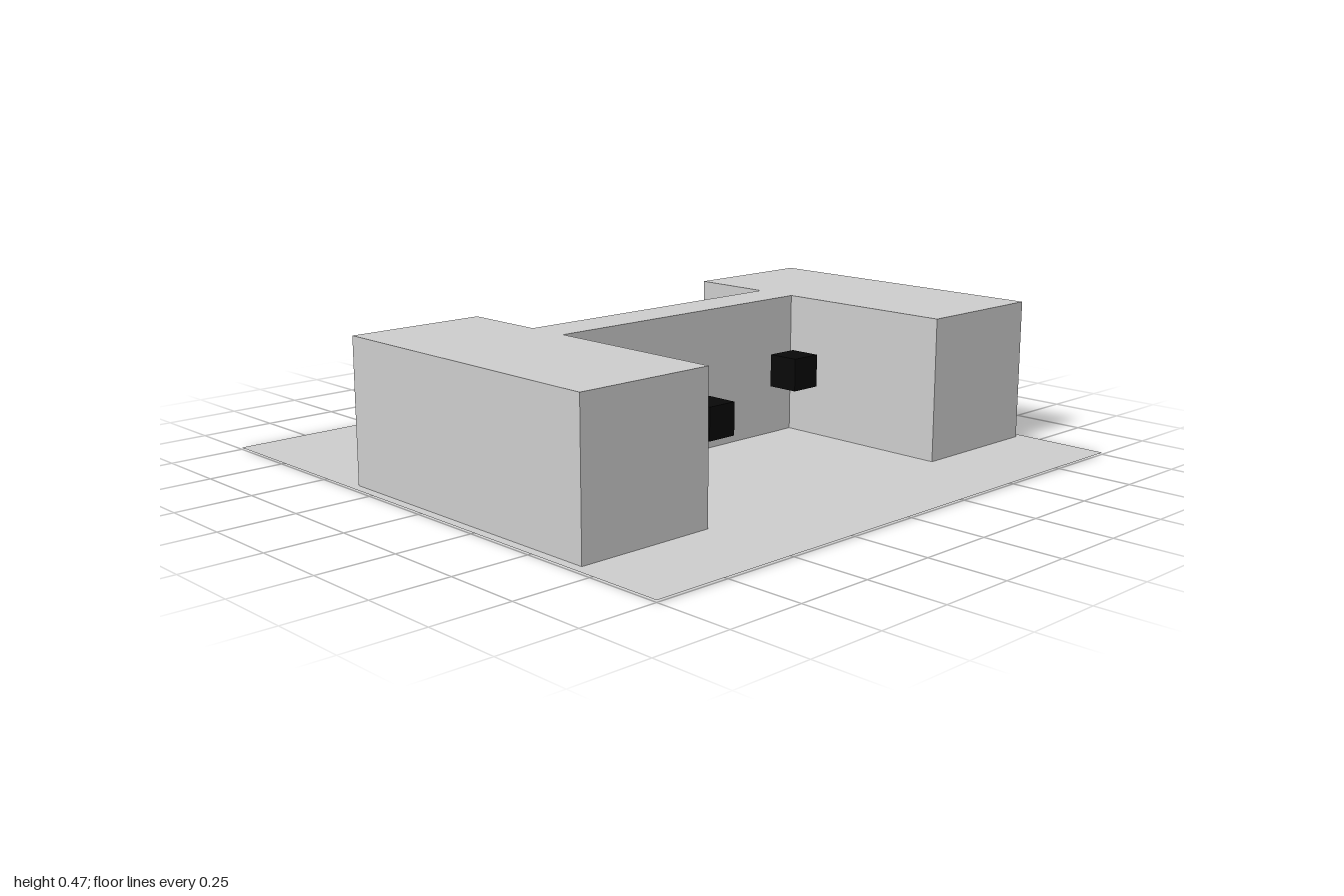
import * as THREE from 'three';

const grey = { color: 0xcccccc, flatShading: true };

export function createModel() {
  const model = new THREE.Group();

  function add(name, geometry, material, x = 0, y = 0, z = 0) {
    const mesh = new THREE.Mesh(geometry, material);
    mesh.name = name;
    mesh.position.set(x, y, z);
    model.add(mesh);
  }

  // Flat square site sheet, just above the foot of the building
  add('groundSheet', new THREE.PlaneGeometry(2, 2).rotateX(-Math.PI / 2),
    new THREE.MeshStandardMaterial({ ...grey, side: THREE.DoubleSide }), 0, 0.006, 0);

  // H-shaped building: two end wings joined by a narrow spine
  const wing = { left: 0.685, right: -0.352, outer: 0.97, inner: 0.507 };
  const spine = { left: 0.07, right: -0.073 };
  const plan = new THREE.Shape([
    [wing.right, -wing.outer], [wing.left, -wing.outer],
    [wing.left, -wing.inner], [spine.left, -wing.inner],
    [spine.left, wing.inner], [wing.left, wing.inner],
    [wing.left, wing.outer], [wing.right, wing.outer],
    [wing.right, wing.inner], [spine.right, wing.inner],
    [spine.right, -wing.inner], [wing.right, -wing.inner],
  ].map(([x, y]) => new THREE.Vector2(x, y)));
  add('building',
    new THREE.ExtrudeGeometry(plan, { depth: 0.47, bevelEnabled: false }).rotateX(-Math.PI / 2),
    new THREE.MeshStandardMaterial(grey));

  // Two small dark cubes floating in the courtyard
  const cube = new THREE.BoxGeometry(0.104, 0.104, 0.104);
  const dark = new THREE.MeshStandardMaterial({ color: 0x080808, flatShading: true });
  add('rearCube', cube, dark, 0.33, 0.29, -0.235);
  add('frontCube', cube, dark, 0.41, 0.225, 0.226);

  return model;
}
